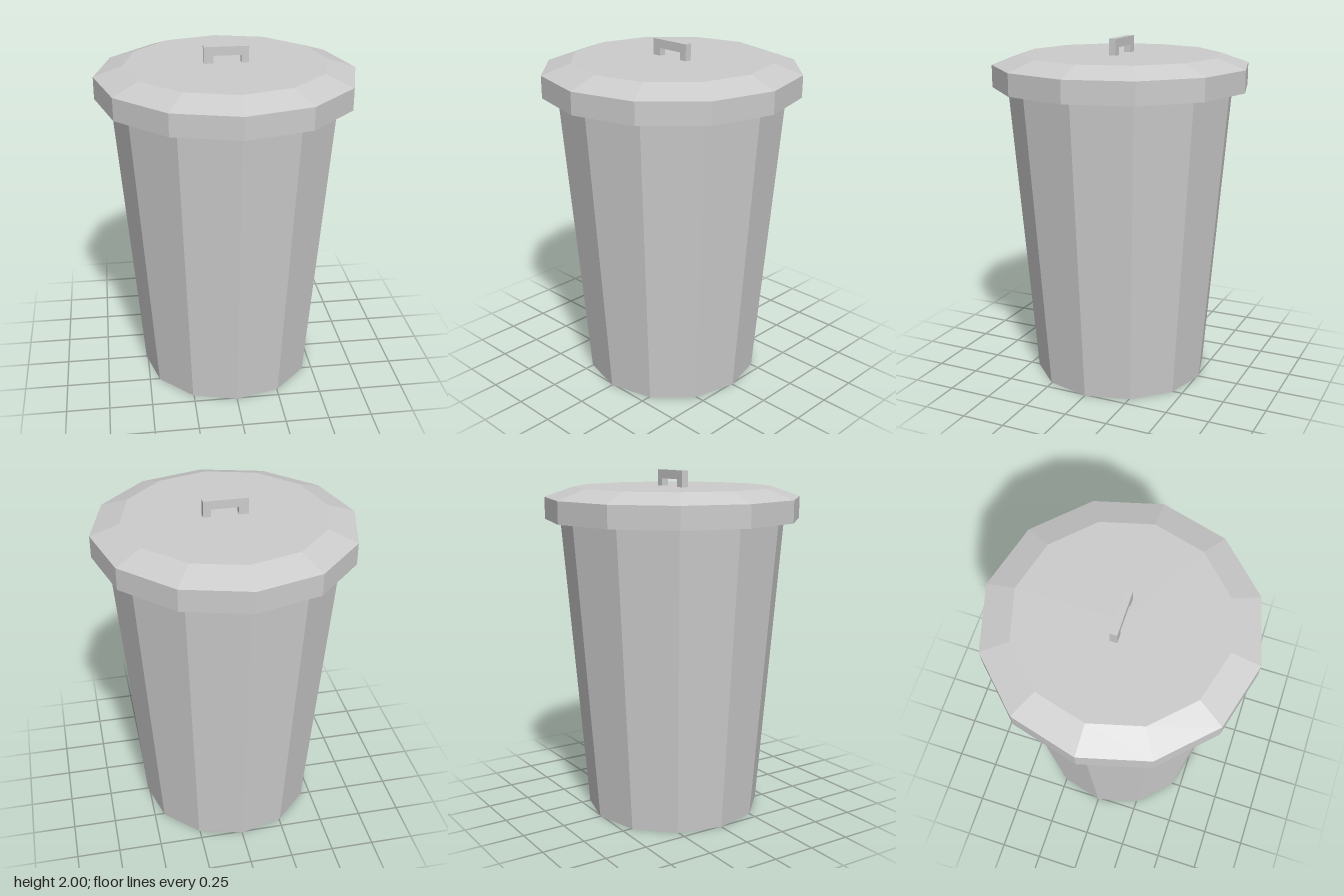
import * as THREE from 'three';

const SIDES = 12;

export function createModel() {
  const group = new THREE.Group();
  const material = new THREE.MeshStandardMaterial({ color: 0xcccccc, flatShading: true });

  const add = (name, geometry) => {
    const mesh = new THREE.Mesh(geometry, material);
    mesh.name = name;
    group.add(mesh);
    return mesh;
  };

  // Tapered twelve-sided bin, closed at the base
  const rimY = 1.725;
  add('body', new THREE.CylinderGeometry(0.648, 0.51, rimY, SIDES)).position.y = rimY / 2;

  // Lid: flat underside, upright skirt, sloping shoulder, flat top
  const lidProfile = [[0, rimY], [0.735, rimY], [0.735, 1.85], [0.572, 1.907], [0, 1.907]]
    .map(([r, y]) => new THREE.Vector2(r, y));
  add('lid', new THREE.LatheGeometry(lidProfile, SIDES));

  // Bracket-shaped lid handle: two posts joined by a grip
  const bracket = [[-0.127, 1.905], [-0.073, 1.905], [-0.073, 1.95], [0.082, 1.95],
    [0.082, 1.905], [0.125, 1.905], [0.125, 2], [-0.127, 2]]
    .map(([x, y]) => new THREE.Vector2(x, y));
  const handle = new THREE.ExtrudeGeometry(new THREE.Shape(bracket), { depth: 0.04, bevelEnabled: false });
  add('lidHandle', handle).position.z = -0.021;

  return group;
}
